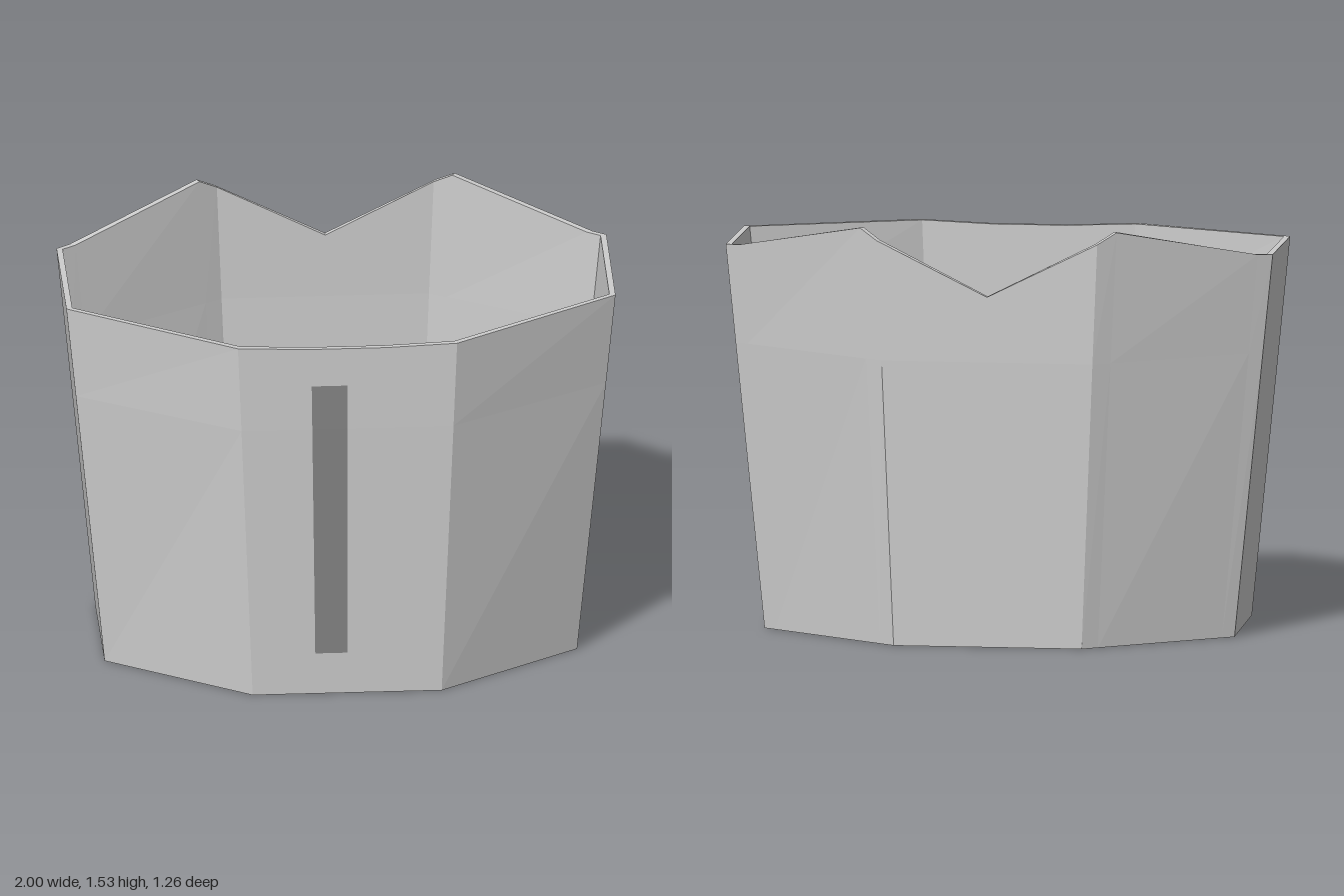
import * as THREE from 'three';

// Taper of the shell: plan scale at a given height
const scaleX = y => 0.86 + 0.1 * y;
const scaleZ = y => 0.97 + 0.03 * Math.min(y / 1.05, 1);
const BEND = 1.05;

// Joins rows of points into a surface; closed wraps both directions
function gridGeometry(rows, closed) {
  const n = rows[0].length, index = [];
  const rowCount = closed ? rows.length : rows.length - 1;
  const colCount = closed ? n : n - 1;
  for (let r = 0; r < rowCount; r++) {
    const r2 = (r + 1) % rows.length;
    for (let i = 0; i < colCount; i++) {
      const j = (i + 1) % n;
      const a = r * n + i, b = r * n + j, c = r2 * n + j, d = r2 * n + i;
      index.push(a, b, c, a, c, d);
    }
  }
  const geometry = new THREE.BufferGeometry();
  geometry.setAttribute('position', new THREE.Float32BufferAttribute(rows.flat(2), 3));
  geometry.setIndex(index);
  geometry.computeVertexNormals();
  return geometry;
}

export function createModel() {
  const group = new THREE.Group();
  group.name = 'taperedOctagonalCuff';

  // Half of the rim from front centre to back centre: x, z, height
  const half = [
    [0, 0.63, 1.365], [0.14, 0.63, 1.365], [0.4, 0.63, 1.375],
    [1, 0.265, 1.395], [1, -0.265, 1.41], [0.95, -0.295, 1.413],
    [0.464, -0.59, 1.53], [0.4, -0.63, 1.49], [0, -0.63, 1.29],
  ];
  const mirrored = half.slice(1, -1).reverse().map(([x, z, h]) => [-x, z, h]);
  const rim = [...half, ...mirrored];

  // Shell wall: up the outside, over the rim, down the inside
  const ring = (heightOf, insetX, insetZ) => rim.map(([x, z, h]) => {
    const y = heightOf(h);
    return [x * scaleX(y) * insetX, y, z * scaleZ(y) * insetZ];
  });
  const levels = [() => 0, () => BEND, h => h];
  const outer = levels.map(f => ring(f, 1, 1));
  const inner = levels.map(f => ring(f, 0.978, 0.965)).reverse();
  const shell = new THREE.Mesh(
    gridGeometry([...outer, ...inner], true),
    new THREE.MeshStandardMaterial({ color: 0xcccccc, flatShading: true })
  );
  shell.name = 'shell';
  group.add(shell);

  // Dark strip lying on the front wall
  const rows = [0.16, BEND, 1.22].map(y =>
    [-0.133, 0].map(x => [x * scaleX(y), y, 0.63 * scaleZ(y) + 0.002]));
  const strip = new THREE.Mesh(
    gridGeometry(rows, false),
    new THREE.MeshStandardMaterial({ color: 0x848484, flatShading: true, side: THREE.DoubleSide })
  );
  strip.name = 'frontStrip';
  group.add(strip);

  return group;
}
